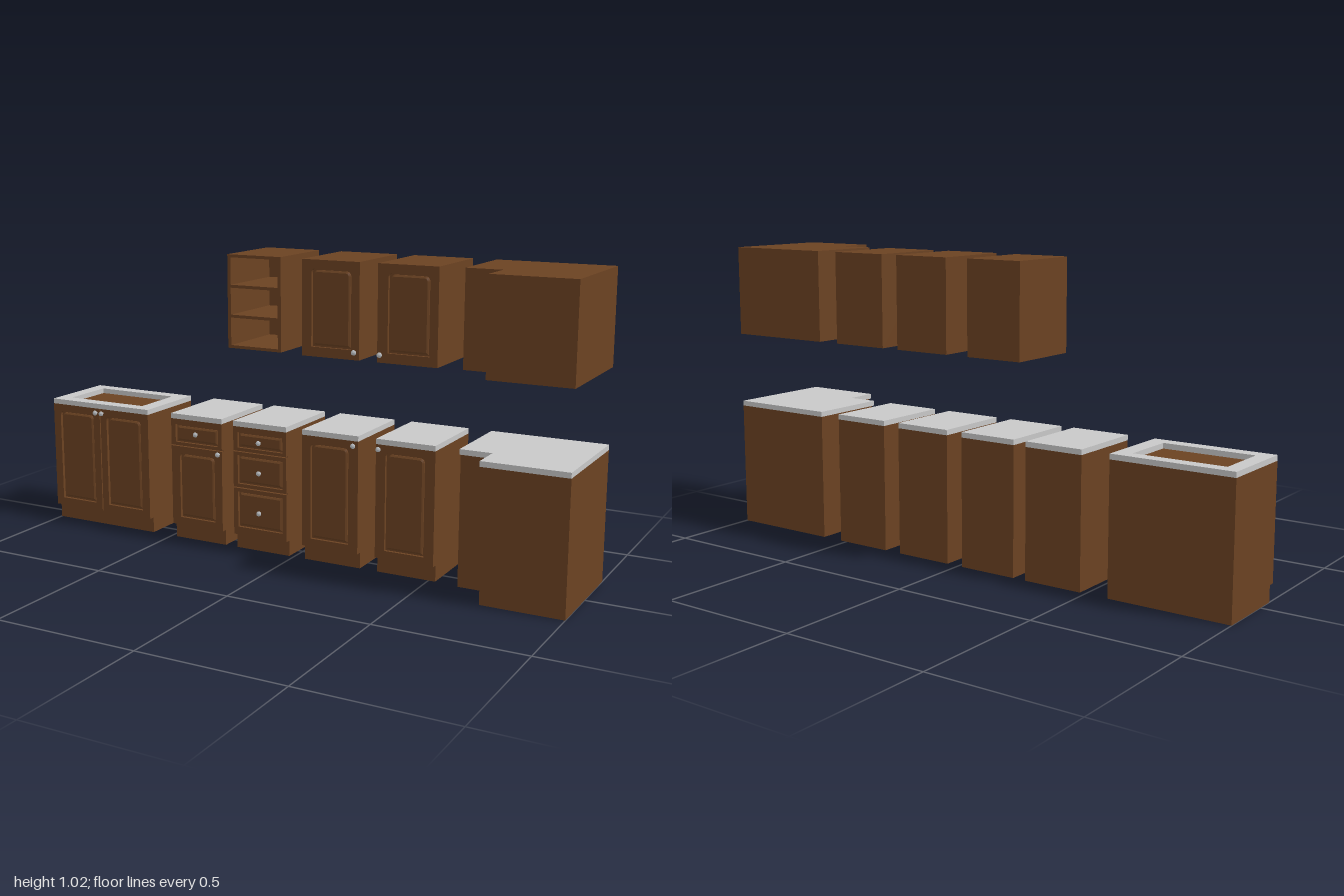
import * as THREE from 'three';

const wood = new THREE.MeshStandardMaterial({ name: 'brown wood', color: 0x6b4222 });
const stone = new THREE.MeshStandardMaterial({ name: 'grey worktop', color: 0xc8c8c8 });
const metal = new THREE.MeshStandardMaterial({ name: 'silver metal', color: 0xc4c8cc });

const BACK = -0.195, BODY = 0.075, FACE = 0.086;
const BASE_TOP = 0.44, TOP = 0.458, WALL_Y0 = 0.708, WALL_Y1 = 1.025;

function add(parent, name, geometry, material) {
  const mesh = new THREE.Mesh(geometry, material);
  mesh.name = name;
  parent.add(mesh);
  return mesh;
}

// Box given by its two opposite corners
function block(parent, name, material, x0, x1, y0, y1, z0, z1) {
  const mesh = add(parent, name, new THREE.BoxGeometry(x1 - x0, y1 - y0, z1 - z0), material);
  mesh.position.set((x0 + x1) / 2, (y0 + y1) / 2, (z0 + z1) / 2);
  return mesh;
}

// Rectangle outline with optional rounded top corners
function outline(Type, [x0, x1, y0, y1], r = 0) {
  const s = new Type();
  s.moveTo(x0, y0);
  s.lineTo(x1, y0);
  s.lineTo(x1, y1 - r);
  if (r) s.quadraticCurveTo(x1, y1, x1 - r, y1);
  s.lineTo(x0 + r, y1);
  if (r) s.quadraticCurveTo(x0, y1, x0, y1 - r);
  s.closePath();
  return s;
}

// Frame with a grooved, bevelled centre panel
function front(parent, name, outer, panel, r = 0.018) {
  const group = new THREE.Group();
  group.name = name;
  parent.add(group);
  const shape = outline(THREE.Shape, outer);
  shape.holes.push(outline(THREE.Path, panel, r));
  const frame = new THREE.ExtrudeGeometry(shape, { depth: FACE - BODY, bevelEnabled: false, curveSegments: 5 });
  add(group, 'frame', frame, wood).position.z = BODY;
  const inset = 0.012;
  const [x0, x1, y0, y1] = panel;
  const centre = outline(THREE.Shape, [x0 + inset, x1 - inset, y0 + inset, y1 - inset], r * 0.6);
  const raised = new THREE.ExtrudeGeometry(centre, {
    depth: 0.004, bevelThickness: 0.004, bevelSize: 0.006, bevelSegments: 1, curveSegments: 5,
  });
  add(group, 'raisedPanel', raised, wood).position.z = BODY;
}

function knob(parent, x, y) {
  const profile = [[0, 0], [0.004, 0], [0.004, 0.006], [0.009, 0.009], [0.008, 0.013], [0, 0.015]];
  const geometry = new THREE.LatheGeometry(profile.map(([a, b]) => new THREE.Vector2(a, b)), 14);
  geometry.rotateX(Math.PI / 2);
  add(parent, 'knob', geometry, metal).position.set(x, y, FACE);
}

function cabinet(root, name) {
  const group = new THREE.Group();
  group.name = name;
  root.add(group);
  return group;
}

// Floor cabinet with recessed plinth and worktop
function baseCabinet(root, name, x0, x1, solidTop = true) {
  const g = cabinet(root, name);
  block(g, 'plinth', wood, x0, x1, 0, 0.055, BACK, 0.065);
  block(g, 'carcass', wood, x0, x1, 0.055, BASE_TOP, BACK, BODY);
  if (solidTop) block(g, 'worktop', stone, x0, x1, BASE_TOP, TOP, BACK, FACE);
  return g;
}

// Horizontal slab from an x,z outline
function slab(parent, name, material, points, y0, y1, hole) {
  const toVec = ([x, z]) => new THREE.Vector2(x, -z);
  const shape = new THREE.Shape(points.map(toVec));
  if (hole) shape.holes.push(new THREE.Path(hole.map(toVec)));
  const geometry = new THREE.ExtrudeGeometry(shape, { depth: y1 - y0, bevelEnabled: false });
  geometry.rotateX(-Math.PI / 2);
  add(parent, name, geometry, material).position.y = y0;
}

const rect = (x0, x1, z0, z1) => [[x0, z1], [x1, z1], [x1, z0], [x0, z0]];
const cornerPlan = (notchX, notchZ) => [
  [0.605, BACK], [0.605, notchZ], [notchX, notchZ], [notchX, 0.195], [1, 0.195], [1, BACK],
];

export function createModel() {
  const root = new THREE.Group();
  root.name = 'kitchenCabinets';

  // Sink unit with a cut-out worktop
  const sink = baseCabinet(root, 'sinkCabinet', -1, -0.58, false);
  slab(sink, 'sinkWorktop', stone, rect(-1, -0.58, BACK, FACE), BASE_TOP, TOP, rect(-0.95, -0.635, -0.15, 0.04));
  front(sink, 'leftHandDoor', [-1, -0.792, 0.055, BASE_TOP], [-0.97, -0.82, 0.083, 0.415]);
  front(sink, 'rightHandDoor', [-0.788, -0.58, 0.055, BASE_TOP], [-0.762, -0.612, 0.083, 0.415]);
  knob(sink, -0.805, 0.425);
  knob(sink, -0.778, 0.425);

  // Unit with one drawer above a door
  const mixed = baseCabinet(root, 'drawerAndDoorCabinet', -0.48, -0.272);
  front(mixed, 'drawer', [-0.48, -0.272, 0.346, BASE_TOP], [-0.462, -0.287, 0.357, 0.42], 0);
  front(mixed, 'door', [-0.48, -0.272, 0.055, 0.342], [-0.446, -0.302, 0.083, 0.318]);
  knob(mixed, -0.374, 0.393);
  knob(mixed, -0.284, 0.332);
  for (const y of [0.105, 0.297]) {
    add(mixed, 'hinge', new THREE.CylinderGeometry(0.004, 0.004, 0.025, 8), metal).position.set(-0.478, y, 0.079);
  }

  // Three-drawer unit
  const drawers = baseCabinet(root, 'threeDrawerCabinet', -0.225, -0.017);
  const rows = [[0.055, 0.222, 0.083, 0.21, 0.144], [0.226, 0.351, 0.238, 0.339, 0.286], [0.355, 0.44, 0.366, 0.42, 0.392]];
  for (const [y0, y1, p0, p1, k] of rows) {
    front(drawers, 'drawer', [-0.225, -0.017, y0, y1], [-0.208, -0.032, p0, p1], 0);
    knob(drawers, -0.12, k);
  }

  // Single-door units, floor and wall, opening opposite ways
  for (const [x0, x1, p0, p1, k] of [[0.044, 0.252, 0.076, 0.217, 0.237], [0.316, 0.524, 0.35, 0.49, 0.328]]) {
    const base = baseCabinet(root, 'baseDoorCabinet', x0, x1);
    front(base, 'door', [x0, x1, 0.055, BASE_TOP], [p0, p1, 0.083, 0.415]);
    knob(base, k, 0.425);
    const wall = cabinet(root, 'wallDoorCabinet');
    block(wall, 'carcass', wood, x0, x1, WALL_Y0, WALL_Y1, BACK, BODY);
    front(wall, 'door', [x0, x1, WALL_Y0, WALL_Y1], [p0 + 0.002, p1 + 0.006, 0.74, 0.997]);
    knob(wall, k, 0.734);
  }

  // Open shelf wall unit
  const open = cabinet(root, 'openShelfCabinet');
  const [s0, s1] = [-0.247, -0.042];
  block(open, 'backPanel', wood, s0, s1, WALL_Y0, WALL_Y1, BACK, -0.185);
  block(open, 'sidePanel', wood, s0, s0 + 0.012, WALL_Y0, WALL_Y1, -0.185, BODY);
  block(open, 'sidePanel', wood, s1 - 0.012, s1, WALL_Y0, WALL_Y1, -0.185, BODY);
  for (const [y0, y1] of [[WALL_Y0, 0.718], [0.812, 0.822], [0.913, 0.923], [1.015, WALL_Y1]]) {
    block(open, 'shelf', wood, s0 + 0.012, s1 - 0.012, y0, y1, -0.185, BODY);
  }

  // Corner units
  const cornerBase = cabinet(root, 'cornerBaseCabinet');
  slab(cornerBase, 'carcass', wood, cornerPlan(0.725, BODY), 0, BASE_TOP);
  slab(cornerBase, 'cornerWorktop', stone, cornerPlan(0.714, FACE), BASE_TOP, TOP);
  const cornerWall = cabinet(root, 'cornerWallCabinet');
  slab(cornerWall, 'carcass', wood, cornerPlan(0.725, BODY), WALL_Y0, WALL_Y1);

  return root;
}
